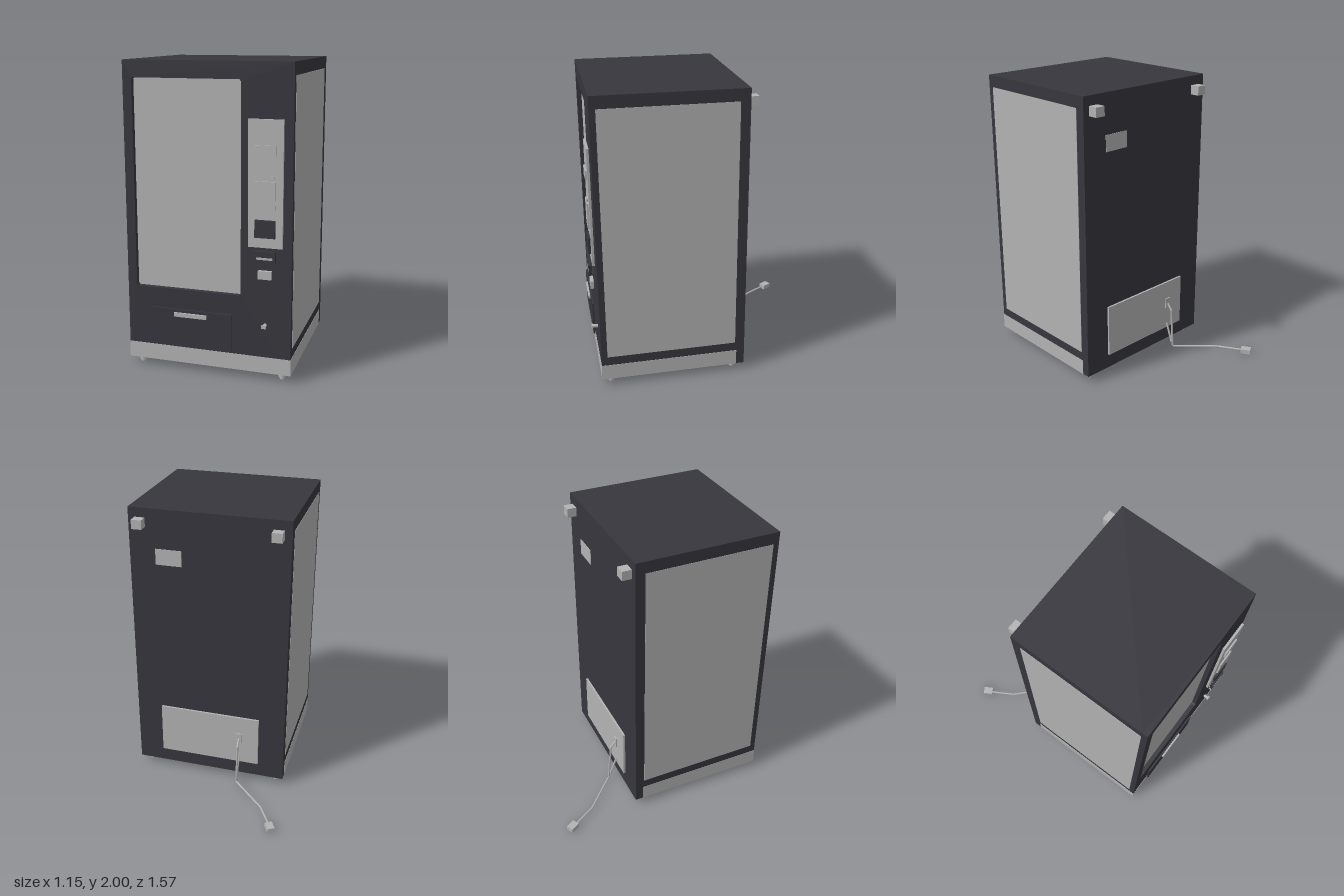
import * as THREE from 'three';

export function createModel() {
  const root = new THREE.Group();
  const dark = new THREE.MeshStandardMaterial({ color: 0x37363d });
  dark.name = 'charcoal';
  const light = new THREE.MeshStandardMaterial({ color: 0xb3b3b3 });
  light.name = 'light grey';

  const add = (name, geometry, material, parent = root) => {
    const mesh = new THREE.Mesh(geometry, material);
    mesh.name = name;
    parent.add(mesh);
    return mesh;
  };
  // Box given by its lower and upper limits on each axis
  const box = (name, material, x0, x1, y0, y1, z0, z1, parent = root) => {
    const mesh = add(name, new THREE.BoxGeometry(x1 - x0, y1 - y0, z1 - z0), material, parent);
    mesh.position.set((x0 + x1) / 2, (y0 + y1) / 2, (z0 + z1) / 2);
    return mesh;
  };

  const L = -0.52, R = 0.57, BACK = -0.25, FRONT = 0.735, RECESS = 0.7;

  // Cabinet body and door with a window opening
  box('cabinet', dark, L, R, 0.05, 2, BACK, RECESS);
  const door = new THREE.Shape();
  door.moveTo(L, 0.05).lineTo(R, 0.05).lineTo(R, 2).lineTo(L, 2).closePath();
  const [wx0, wx1, wy0, wy1, c] = [-0.46, 0.245, 0.55, 1.893, 0.01];
  const opening = new THREE.Path();
  opening.moveTo(wx0 + c, wy0)
    .lineTo(wx0 + c, wy0).lineTo(wx0, wy0 + c)
    .lineTo(wx0, wy1 - c).lineTo(wx0 + c, wy1)
    .lineTo(wx1 - c, wy1).lineTo(wx1, wy1 - c)
    .lineTo(wx1, wy0 + c).lineTo(wx1 - c, wy0).closePath();
  door.holes.push(opening);
  add('door', new THREE.ExtrudeGeometry(door, { depth: FRONT - RECESS, bevelEnabled: false }), dark)
    .position.z = RECESS;
  box('window', light, wx0, wx1, wy0, wy1, RECESS - 0.002, RECESS + 0.004);

  // Side panels and kick plates
  for (const x of [L, R]) {
    box('sidePanel', light, x - 0.002, x + 0.002, 0.22, 1.92, -0.185, 0.695);
    box('sideKickPlate', light, x - 0.002, x + 0.002, 0.05, 0.157, -0.195, FRONT + 0.002);
  }
  box('frontKickPlate', light, L, R, 0.05, 0.157, FRONT - 0.002, FRONT + 0.002);

  // Payment panel and its controls
  const payment = new THREE.Group();
  payment.name = 'paymentPanel';
  root.add(payment);
  box('panelPlate', light, 0.297, 0.515, 0.88, 1.665, 0.742, 0.758, payment);
  box('display', light, 0.342, 0.47, 1.447, 1.51, 0.755, 0.769, payment);
  box('billReader', light, 0.342, 0.47, 1.12, 1.293, 0.755, 0.769, payment);
  box('keypad', dark, 0.342, 0.47, 0.945, 1.055, 0.755, 0.774, payment);
  const button = add('button', new THREE.CylinderGeometry(0.014, 0.014, 0.02, 20), light, payment);
  button.rotation.x = Math.PI / 2;
  button.position.set(0.447, 1.315, 0.758);

  // Coin slot and coin return below the panel
  box('coinSlotHousing', dark, 0.338, 0.475, 0.792, 0.862, 0.759, 0.78);
  box('coinSlot', light, 0.357, 0.458, 0.81, 0.824, 0.776, 0.782);
  box('coinReturn', light, 0.365, 0.45, 0.682, 0.735, 0.75, 0.772);

  // Delivery flap with handle
  box('deliveryFlap', dark, -0.355, 0.187, 0.18, 0.42, 0.741, 0.753);
  box('flapHandle', light, -0.195, 0.023, 0.374, 0.4, 0.753, 0.766);

  // Door lock
  const lock = add('lock', new THREE.CylinderGeometry(0.012, 0.012, 0.04, 16), light);
  lock.rotation.x = Math.PI / 2;
  lock.position.set(0.405, 0.373, 0.75);
  box('lockHandle', light, 0.39, 0.42, 0.363, 0.383, 0.766, 0.778);

  // Levelling feet
  for (const x of [-0.455, 0.505]) for (const z of [0.67, -0.18]) {
    const foot = new THREE.Group();
    foot.name = 'foot';
    foot.position.set(x, 0, z);
    root.add(foot);
    for (const [r, y0, y1] of [[0.02, 0, 0.012], [0.025, 0.012, 0.038], [0.02, 0.038, 0.052]]) {
      add('footDisc', new THREE.CylinderGeometry(r, r, y1 - y0, 12), light, foot)
        .position.y = (y0 + y1) / 2;
    }
  }

  // Rear spacers, rating plate and service panel
  for (const x of [-0.47, 0.455]) box('rearSpacer', light, x, x + 0.07, 1.873, 1.936, -0.315, BACK);
  box('ratingPlate', light, 0.21, 0.39, 1.62, 1.73, BACK - 0.004, BACK);
  box('servicePanel', light, -0.335, 0.387, 0.155, 0.525, BACK - 0.014, BACK);
  box('cordSocket', light, -0.217, -0.173, 0.32, 0.395, -0.272, -0.26);

  // Power cord with angular bends, and its short retaining stay
  const tube = (name, points) => {
    const path = new THREE.CurvePath();
    const pts = points.map(p => new THREE.Vector3(...p));
    for (let i = 1; i < pts.length; i++) path.add(new THREE.LineCurve3(pts[i - 1], pts[i]));
    add(name, new THREE.TubeGeometry(path, 80, 0.0075, 8), light);
  };
  tube('powerCord', [[-0.195, 0.36, -0.262], [-0.195, 0.31, -0.305], [-0.195, 0.018, -0.328],
    [-0.435, 0.016, -0.56], [-0.53, 0.016, -0.72]]);
  tube('cordStay', [[-0.195, 0.19, -0.262], [-0.195, 0.05, -0.315]]);
  const plug = add('plug', new THREE.BoxGeometry(0.052, 0.033, 0.07), light);
  plug.position.set(-0.54, 0.0185, -0.745);
  plug.rotation.y = Math.PI / 6;

  return root;
}
